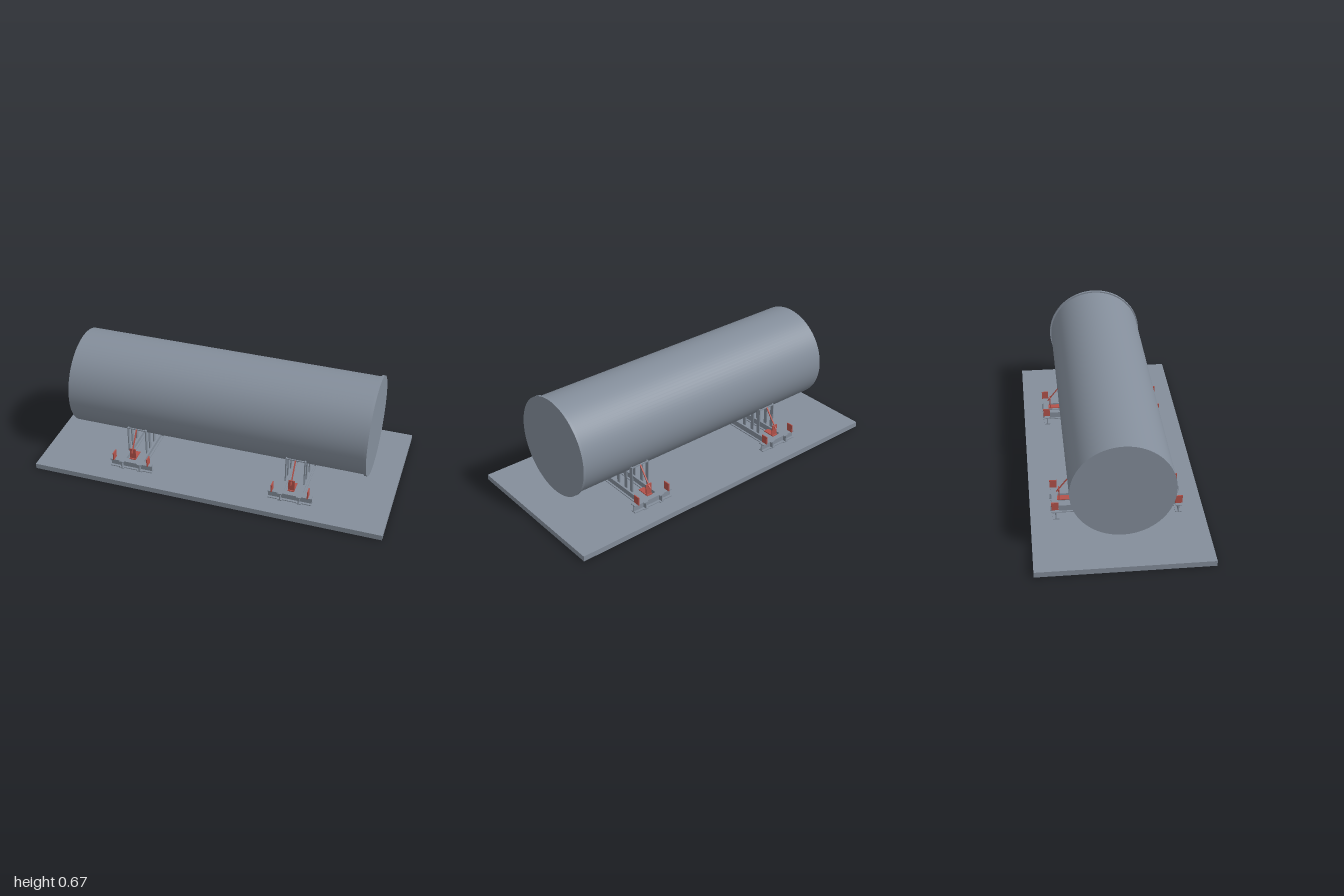
import * as THREE from 'three';

export function createModel() {
  const model = new THREE.Group();
  const steel = new THREE.MeshStandardMaterial({ color: 0x848e9b });
  steel.name = 'grey steel';
  const red = new THREE.MeshStandardMaterial({ color: 0xb3524a });
  red.name = 'red bracket';

  const add = (parent, name, geometry, material) => {
    const mesh = new THREE.Mesh(geometry, material);
    mesh.name = name;
    parent.add(mesh);
    return mesh;
  };
  // Box given by its minimum and maximum on each axis
  const box = (parent, name, material, x0, x1, y0, y1, z0, z1) => {
    const g = new THREE.BoxGeometry(x1 - x0, y1 - y0, z1 - z0);
    g.translate((x0 + x1) / 2, (y0 + y1) / 2, (z0 + z1) / 2);
    return add(parent, name, g, material);
  };
  // I-section beam running along z, centred on its origin
  const beamGeometry = (length, width, height) => {
    const w = width / 2, h = height / 2, t = 0.005, s = 0.003;
    const outline = [[-w, -h], [w, -h], [w, t - h], [s, t - h], [s, h - t], [w, h - t],
      [w, h], [-w, h], [-w, h - t], [-s, h - t], [-s, t - h], [-w, t - h]];
    const shape = new THREE.Shape(outline.map(([x, y]) => new THREE.Vector2(x, y)));
    const g = new THREE.ExtrudeGeometry(shape, { depth: length, bevelEnabled: false });
    return g.translate(0, 0, -length / 2);
  };

  // Base slab
  box(model, 'baseSlab', steel, -1, 1, 0, 0.031, -0.464, 0.464);

  // Tank shell and end flange
  const tankY = 0.387, tankR = 0.27;
  const drum = (name, radius, x0, x1) => {
    const g = new THREE.CylinderGeometry(radius, radius, x1 - x0, 96);
    g.rotateZ(Math.PI / 2).translate((x0 + x1) / 2, tankY, 0);
    add(model, name, g, steel);
  };
  drum('tankShell', tankR, -0.85, 0.84);
  drum('endFlange', 0.278, 0.835, 0.85);

  // Two support cradles
  const low = 0.031, top = 0.078, mid = (low + top) / 2, railX = 0.053;
  for (const end of [-1, 1]) {
    const cradle = new THREE.Group();
    cradle.name = end < 0 ? 'rightCradle' : 'leftCradle';
    cradle.position.x = end * 0.463;
    model.add(cradle);

    for (const sx of [-1, 1]) {
      // Long rail with a stiffener at mid length
      add(cradle, 'rail', beamGeometry(0.706, 0.027, top - low), steel)
        .position.set(sx * railX, mid, 0);
      box(cradle, 'stiffener', steel, sx * railX - 0.013, sx * railX + 0.013, low, top, -0.002, 0.002);

      // Posts rising from the rail to the shell
      for (const z of [0.037, 0.11, 0.176, 0.226]) {
        const outer = z + 0.011;
        const height = Math.min(0.235, tankY - Math.sqrt(tankR ** 2 - outer ** 2));
        for (const sz of [-1, 1]) {
          box(cradle, 'post', steel, sx * railX - 0.003, sx * railX + 0.003, top, height,
            sz * z - 0.011, sz * z + 0.011);
        }
      }
    }

    for (const sz of [-1, 1]) {
      const side = new THREE.Group();
      side.name = sz > 0 ? 'frontSupport' : 'backSupport';
      if (sz < 0) side.rotation.y = Math.PI;
      cradle.add(side);

      // Cross beam and the tie between the outer posts
      const cross = add(side, 'crossBeam', beamGeometry(0.246, 0.034, top - low), steel);
      cross.rotation.y = Math.PI / 2;
      cross.position.set(0, mid, 0.328);
      box(side, 'postTie', steel, -railX, railX, 0.229, 0.235, 0.23, 0.237);

      // Upright end plates
      for (const sx of [-1, 1]) {
        box(side, 'endPlate', red, sx * 0.101 - 0.003, sx * 0.101 + 0.003, top, 0.125, 0.312, 0.351);
      }
      // Centre bracket with its diagonal brace
      box(side, 'bracketFoot', red, -0.018, 0.018, top, top + 0.005, 0.24, 0.315);
      box(side, 'bracketPlate', red, -0.018, 0.018, top, 0.146, 0.302, 0.307);
      const a = new THREE.Vector3(0, 0.124, 0.318), b = new THREE.Vector3(0, 0.233, 0.235);
      const brace = add(side, 'brace', new THREE.BoxGeometry(0.007, a.distanceTo(b), 0.005), red);
      brace.position.copy(a).add(b).multiplyScalar(0.5);
      brace.rotation.x = Math.atan2(b.z - a.z, b.y - a.y);
    }
  }
  return model;
}
